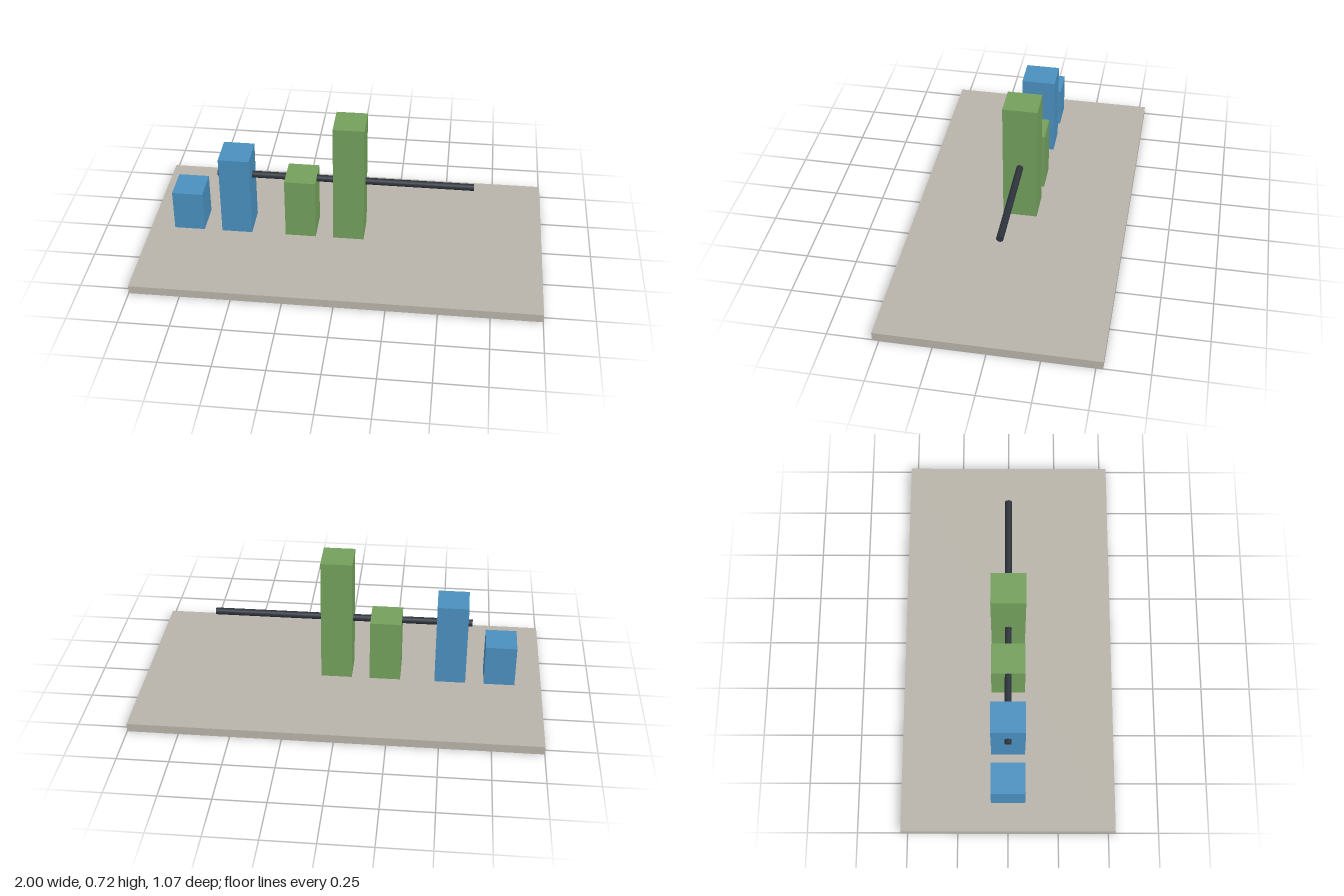
import * as THREE from 'three';

function material(name, color) {
  const m = new THREE.MeshStandardMaterial({ color });
  m.name = name;
  return m;
}

export function createModel() {
  const group = new THREE.Group();
  group.name = 'barChartStand';

  const stone = material('warm grey', 0xb8b3a9);
  const blue = material('blue', 0x4a8fbf);
  const green = material('green', 0x739f5c);
  const dark = material('dark slate', 0x2d323b);

  const add = (name, geometry, mat, x, y) => {
    const mesh = new THREE.Mesh(geometry, mat);
    mesh.name = name;
    mesh.position.set(x, y, 0);
    group.add(mesh);
    return mesh;
  };

  // Base slab
  const baseHeight = 0.043;
  add('base', new THREE.BoxGeometry(2, baseHeight, 1.067), stone, 0, baseHeight / 2);

  // Two pairs of upright bars, floating just above the slab
  const barBottom = 0.08;
  const bars = [
    ['shortBlueBar', blue, -0.787, 0.213],
    ['tallBlueBar', blue, -0.542, 0.427],
    ['shortGreenBar', green, -0.216, 0.32],
    ['tallGreenBar', green, 0.027, 0.64],
  ];
  for (const [name, mat, x, height] of bars) {
    add(name, new THREE.BoxGeometry(0.154, height, 0.17), mat, x, barBottom + height / 2);
  }

  // Horizontal rod running through the bars
  const rod = add('rod', new THREE.CylinderGeometry(0.017, 0.017, 1.28, 24), dark, 0, 0.38);
  rod.rotation.z = Math.PI / 2;

  return group;
}
